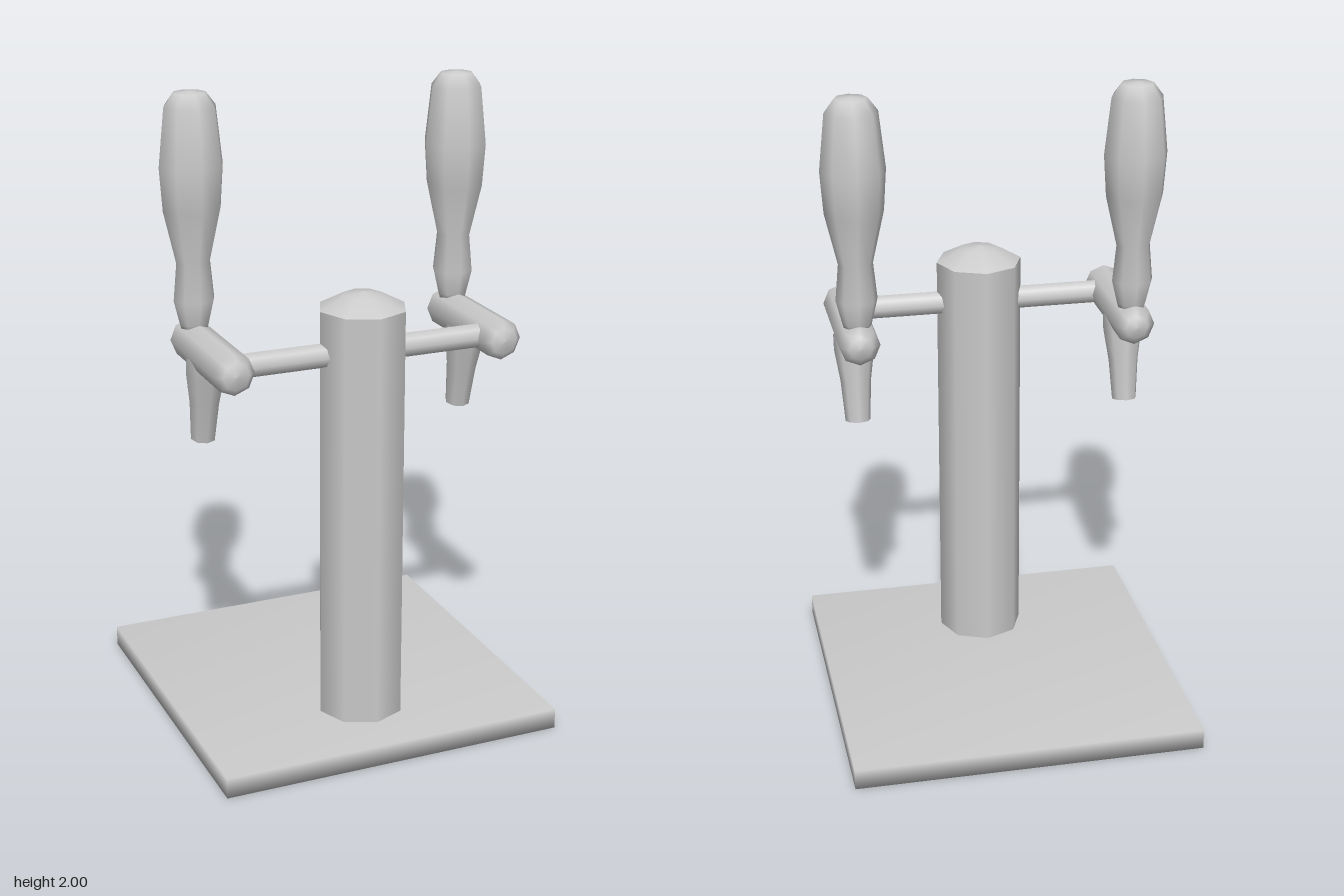
import * as THREE from 'three';
import { mergeVertices } from 'three/addons/utils/BufferGeometryUtils.js';

const material = new THREE.MeshStandardMaterial({ color: 0xcccccc });

function part(name, geometry, x, y, z) {
  const mesh = new THREE.Mesh(geometry, material);
  mesh.name = name;
  mesh.position.set(x, y, z);
  return mesh;
}

// Eight-sided turned shape; profile is [radius, height], bottom to top
function turned(profile) {
  return new THREE.LatheGeometry(profile.map(([r, h]) => new THREE.Vector2(r, h)), 8);
}

// Box whose corners share one smooth normal
function softBox(w, h, d) {
  const box = new THREE.BoxGeometry(w, h, d);
  box.deleteAttribute('normal');
  box.deleteAttribute('uv');
  const merged = mergeVertices(box);
  merged.computeVertexNormals();
  return merged;
}

// One tap: horizontal body, slanted spout and upright handle
function createTap(name, x) {
  const tap = new THREE.Group();
  tap.name = name;
  tap.position.x = x;

  const body = part('tapBody', turned([
    [0, -0.075], [0.036, -0.07], [0.063, -0.045],
    [0.063, 0.34], [0.042, 0.36], [0, 0.366],
  ]), 0, 1.24, 0);
  body.rotation.x = Math.PI / 2;

  const spout = part('spout', turned([
    [0, 0], [0.039, 0], [0.039, 0], [0.048, 0.13], [0.063, 0.23], [0.063, 0.28],
  ]), 0, 0.952, 0.055);
  spout.rotation.x = 0.17;

  const handle = part('handle', turned([
    [0, 1.27], [0.04, 1.28], [0.046, 1.3], [0.064, 1.375], [0.053, 1.49],
    [0.09, 1.65], [0.099, 1.78], [0.08, 1.955], [0.05, 1.995], [0, 2],
  ]), 0, 0, 0);

  tap.add(body, spout, handle);
  return tap;
}

export function createModel() {
  const model = new THREE.Group();
  model.name = 'tapTower';

  model.add(part('basePlate', softBox(1.1, 0.065, 1.1), 0, 0.0325, 0));

  // Column with a low domed top
  model.add(part('column', turned([
    [0.136, 0.05], [0.136, 1.375], [0.136, 1.375], [0.06, 1.415], [0, 1.424],
  ]), 0, 0, 0.273));

  // Pipe through the column joining both taps
  const pipe = part('crossPipe', turned([[0.038, -0.43], [0.038, 0.43]]), 0, 1.24, 0.273);
  pipe.rotation.z = Math.PI / 2;
  model.add(pipe);

  model.add(createTap('leftTap', 0.43), createTap('rightTap', -0.43));
  return model;
}
